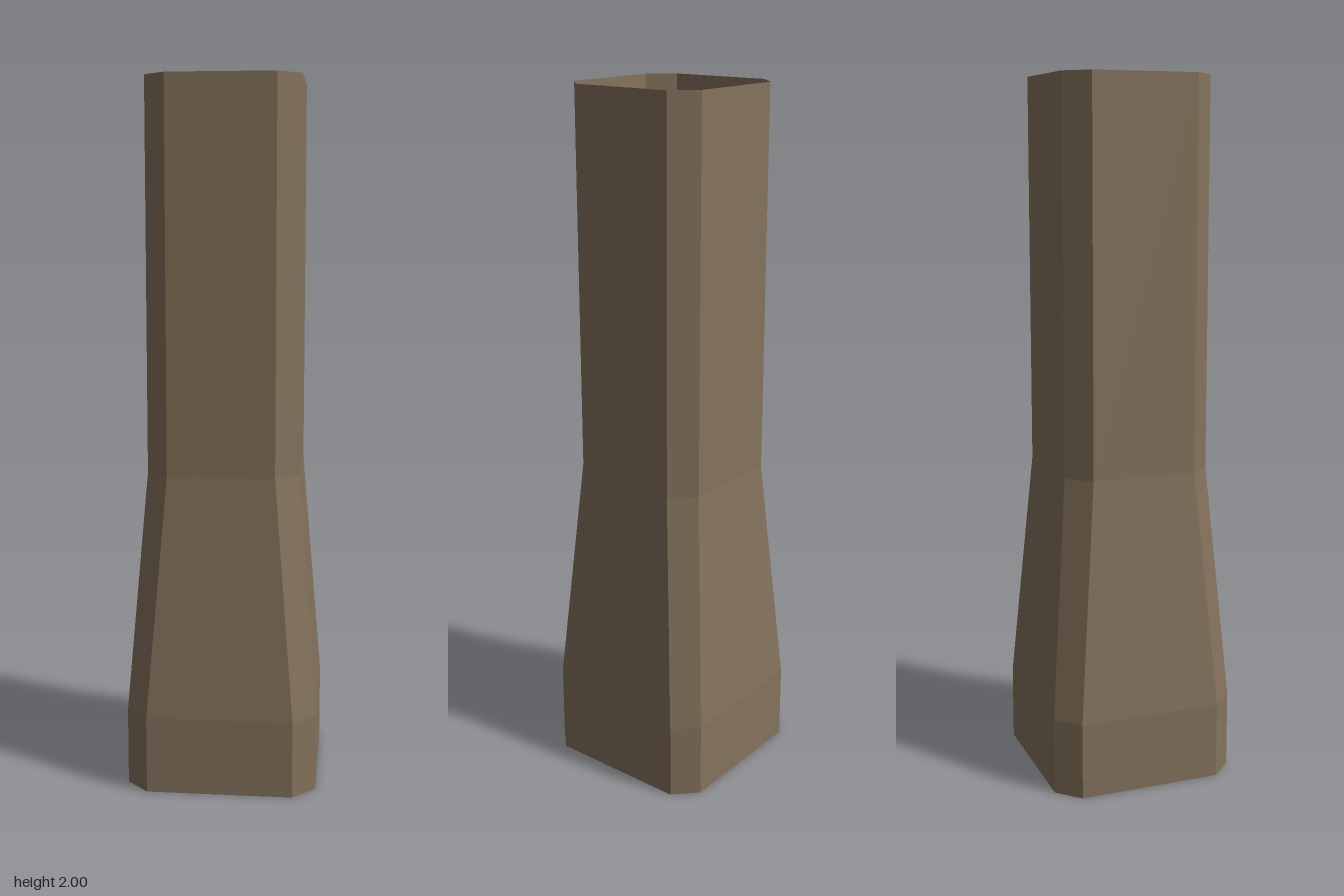
import * as THREE from 'three';

// Square outline with cut corners, counter-clockwise seen from above
function ring(y, half, flat) {
  return [
    [half, flat], [half, -flat], [flat, -half], [-flat, -half],
    [-half, -flat], [-half, flat], [-flat, half], [flat, half],
  ].map(([x, z]) => [x, y, z]);
}

// Joins neighbouring rings, from bottom to top, with flat faces
function loft(rings) {
  const positions = [];
  for (let i = 0; i < rings.length - 1; i++) {
    const low = rings[i], high = rings[i + 1];
    for (let j = 0; j < low.length; j++) {
      const k = (j + 1) % low.length;
      positions.push(...low[j], ...low[k], ...high[k], ...low[j], ...high[k], ...high[j]);
    }
  }
  const geometry = new THREE.BufferGeometry();
  geometry.setAttribute('position', new THREE.Float32BufferAttribute(positions, 3));
  geometry.computeVertexNormals();
  return geometry;
}

export function createModel() {
  const model = new THREE.Group();
  model.name = 'hollowColumn';

  const brown = new THREE.MeshStandardMaterial({
    color: 0x85735d, flatShading: true, side: THREE.DoubleSide,
  });
  brown.name = 'dull brown';

  // Thin open shell: wide foot, tapering neck, straight shaft
  const shell = new THREE.Mesh(loft([
    ring(0, 0.27, 0.207),
    ring(0.22, 0.27, 0.207),
    ring(0.905, 0.214, 0.151),
    ring(2, 0.214, 0.151),
  ]), brown);
  shell.name = 'columnShell';
  model.add(shell);

  return model;
}
